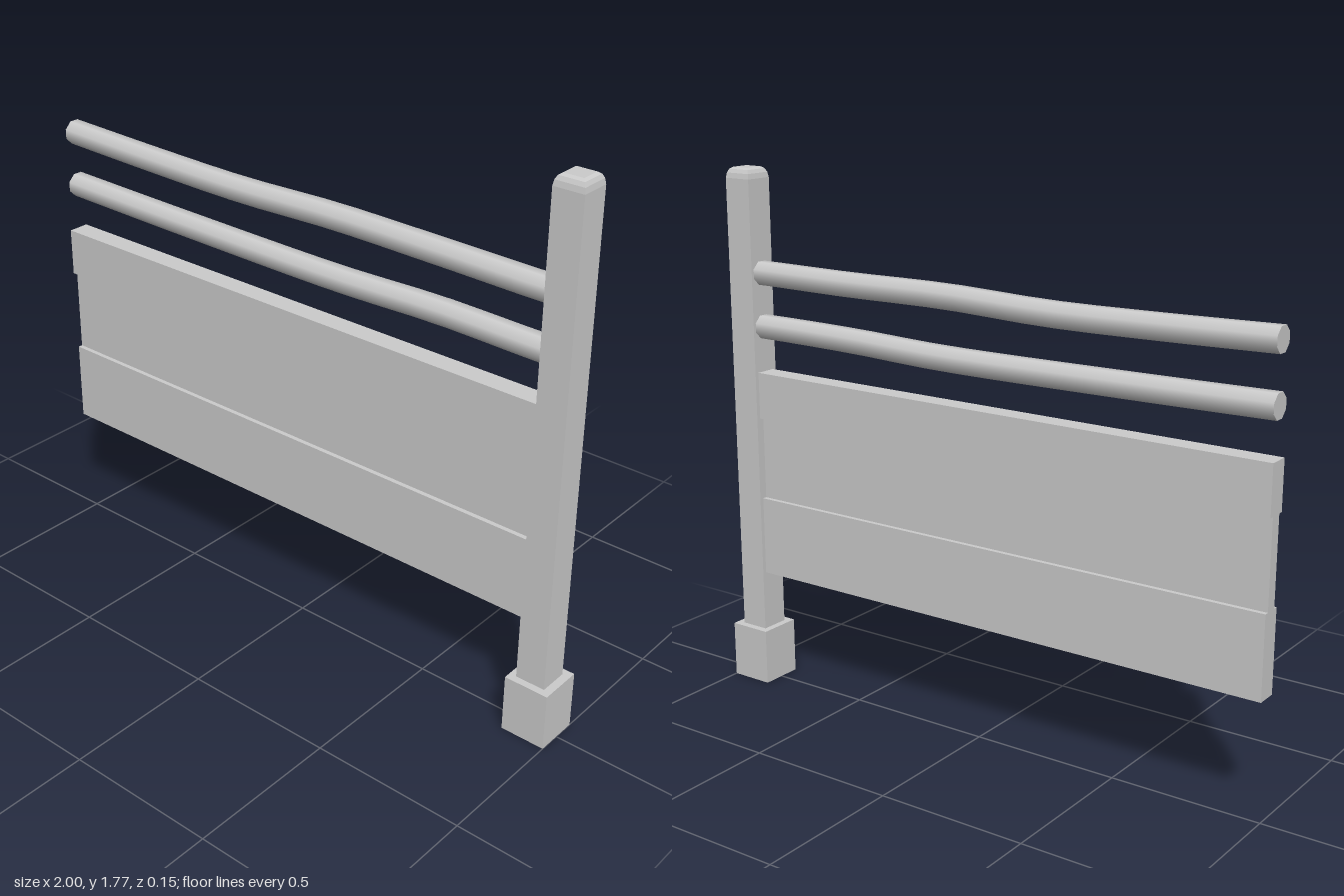
import * as THREE from 'three';

const material = new THREE.MeshStandardMaterial({ color: 0xcccccc });
const flatMaterial = new THREE.MeshStandardMaterial({ color: 0xcccccc, flatShading: true });

const POST_X = 0.925;

function add(group, name, geometry, mat = material) {
  const mesh = new THREE.Mesh(geometry, mat);
  mesh.name = name;
  group.add(mesh);
  return mesh;
}

// Box given by its lower and upper limits, centred on z = 0
function slab(x0, x1, y0, y1, depth) {
  return new THREE.BoxGeometry(x1 - x0, y1 - y0, depth)
    .translate((x0 + x1) / 2, (y0 + y1) / 2, 0);
}

// Square post: four-sided lathe with a softened top
function postGeometry() {
  const profile = [[0, 0.15], [0.049, 0.15], [0.049, 1.735], [0.046, 1.752], [0.04, 1.764], [0.031, 1.77], [0, 1.77]];
  const points = profile.map(([half, y]) => new THREE.Vector2(half * Math.SQRT2, y));
  return new THREE.LatheGeometry(points, 4, Math.PI / 4).translate(POST_X, 0, 0);
}

// Round pole whose rings follow a gently wavering centre line
function railGeometry(path) {
  const x0 = -1, x1 = 0.89;
  const curve = new THREE.SplineCurve(path.map(([x, y]) => new THREE.Vector2(x, y)));
  const samples = curve.getPoints(60);
  const heightAt = (x) => {
    let i = 1;
    while (i < samples.length - 1 && samples[i].x < x) i++;
    const a = samples[i - 1], b = samples[i];
    return THREE.MathUtils.lerp(a.y, b.y, (x - a.x) / (b.x - a.x));
  };
  const geometry = new THREE.CylinderGeometry(0.041, 0.041, x1 - x0, 8, 16)
    .rotateY(Math.PI / 8).rotateZ(Math.PI / 2).translate((x0 + x1) / 2, 0, 0);
  const pos = geometry.attributes.position;
  for (let i = 0; i < pos.count; i++) {
    const x = pos.getX(i);
    const z = -0.011 + 0.01 * THREE.MathUtils.smoothstep(x, 0.45, 0.88);
    pos.setY(i, pos.getY(i) + heightAt(x));
    pos.setZ(i, pos.getZ(i) + z);
  }
  return geometry;
}

export function createModel() {
  const model = new THREE.Group();
  model.name = 'fencePanel';

  // Post and its footing
  add(model, 'postBase', slab(0.853, 1, 0, 0.19, 0.146));
  add(model, 'post', postGeometry(), flatMaterial);

  // Three boards, the middle one recessed on both faces
  const boards = [
    ['lowerBoard', 0.393, 0.66, 0.07],
    ['middleBoard', 0.66, 0.94, 0.04],
    ['upperBoard', 0.94, 1.097, 0.07],
  ];
  for (const [name, y0, y1, depth] of boards) add(model, name, slab(-1, 0.88, y0, y1, depth));

  // Two wavering poles above the boards
  add(model, 'lowerRail', railGeometry([[-1, 1.251], [-0.5, 1.243], [0.1, 1.238], [0.5, 1.249], [0.9, 1.249]]));
  add(model, 'upperRail', railGeometry([[-1, 1.434], [-0.6, 1.424], [-0.25, 1.42], [0.12, 1.431], [0.5, 1.428], [0.9, 1.428]]));

  return model;
}
